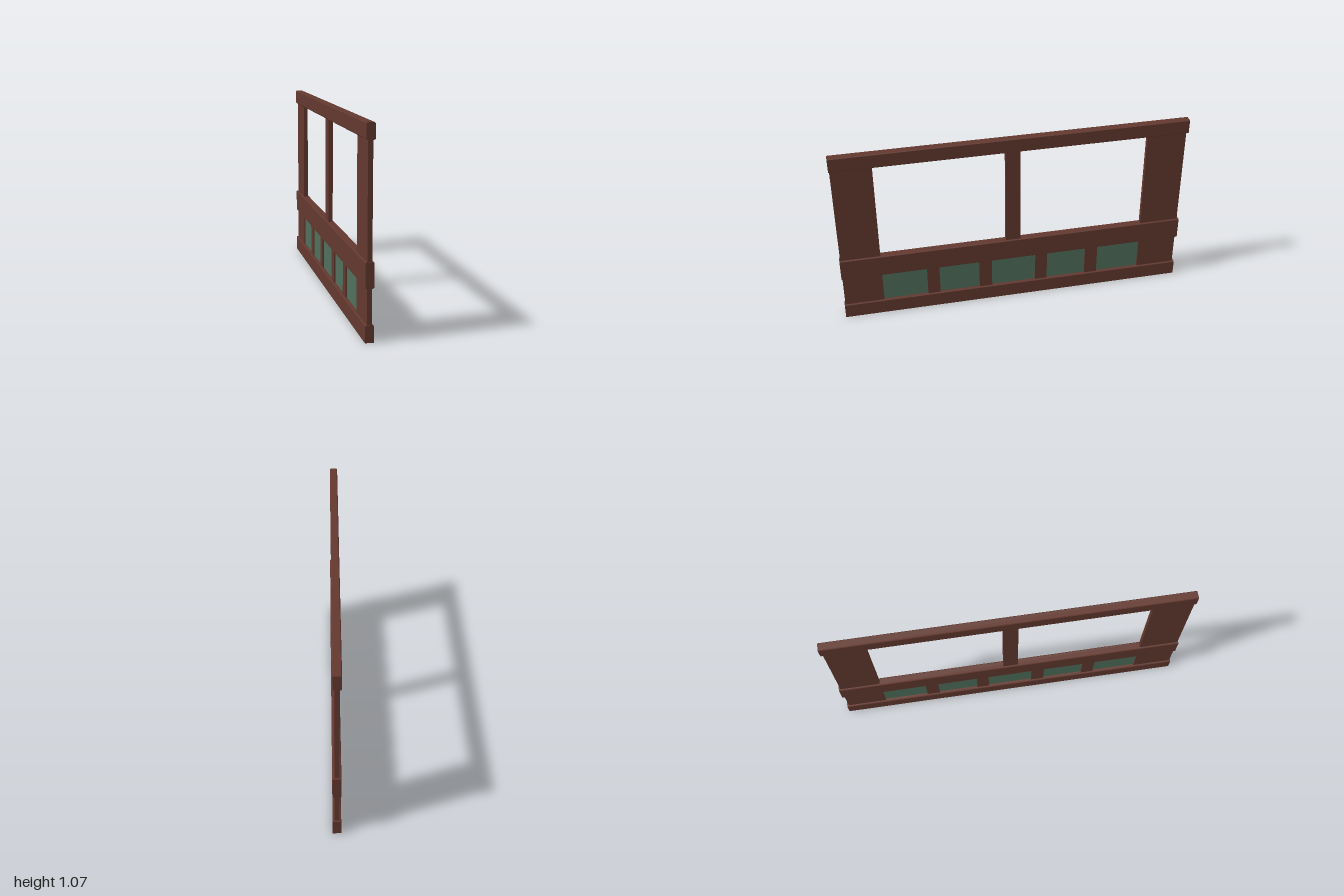
import * as THREE from 'three';

const wood = new THREE.MeshStandardMaterial({ color: 0x63382f });
wood.name = 'reddish brown wood';
const green = new THREE.MeshStandardMaterial({ color: 0x50705c });
green.name = 'muted green panel';

export function createModel() {
  const model = new THREE.Group();

  function add(name, geometry, material) {
    const mesh = new THREE.Mesh(geometry, material);
    mesh.name = name;
    model.add(mesh);
  }

  // Upright board spanning z0..z1 and y0..y1, centred on x = 0
  function board(name, z0, z1, y0, y1, thickness, material = wood) {
    const geometry = new THREE.BoxGeometry(thickness, y1 - y0, z1 - z0);
    geometry.translate(0, (y0 + y1) / 2, (z0 + z1) / 2);
    add(name, geometry, material);
  }

  // Full-length rail with slightly eased long edges
  function rail(name, y0, y1, lowerEase = 0.004) {
    const w = 0.0225, e = 0.004, b = lowerEase;
    const profile = new THREE.Shape([
      [-w + b, y0], [w - b, y0], [w, y0 + b], [w, y1 - e],
      [w - e, y1], [-w + e, y1], [-w, y1 - e], [-w, y0 + b],
    ].filter(([, y], i) => b > 0 || (i !== 2 && i !== 7))
      .map(([x, y]) => new THREE.Vector2(x, y)));
    const geometry = new THREE.ExtrudeGeometry(profile, { depth: 2, bevelEnabled: false });
    geometry.translate(0, 0, -1);
    add(name, geometry, wood);
  }

  // Horizontal rails
  rail('bottomRail', 0, 0.087, 0);
  rail('middleRail', 0.27, 0.4);
  rail('topRail', 0.985, 1.067);

  // Wide end stiles and the central mullion between the two openings
  const core = 0.025;
  for (const [z0, z1, side] of [[0.77, 0.995, 'front'], [-0.99, -0.763, 'back']]) {
    board(side + 'LowerStile', z0, z1, 0.08, 0.28, core);
    board(side + 'UpperStile', z0, z1, 0.39, 0.99, core);
  }
  board('centreMullion', -0.038, 0.046, 0.39, 0.99, core);

  // Short posts dividing the lower panels
  const posts = [[0.44, 0.512], [0.131, 0.206], [-0.2, -0.129], [-0.507, -0.432]];
  posts.forEach(([z0, z1], i) => board('lowerPost' + (i + 1), z0, z1, 0.08, 0.28, core));

  // Recessed green panels filling the gaps
  const edges = [-0.763, ...posts.flat().sort((a, b) => a - b), 0.77];
  for (let i = 0; i < edges.length; i += 2) {
    board('lowerPanel' + (i / 2 + 1), edges[i], edges[i + 1], 0.08, 0.28, 0.009, green);
  }

  return model;
}
